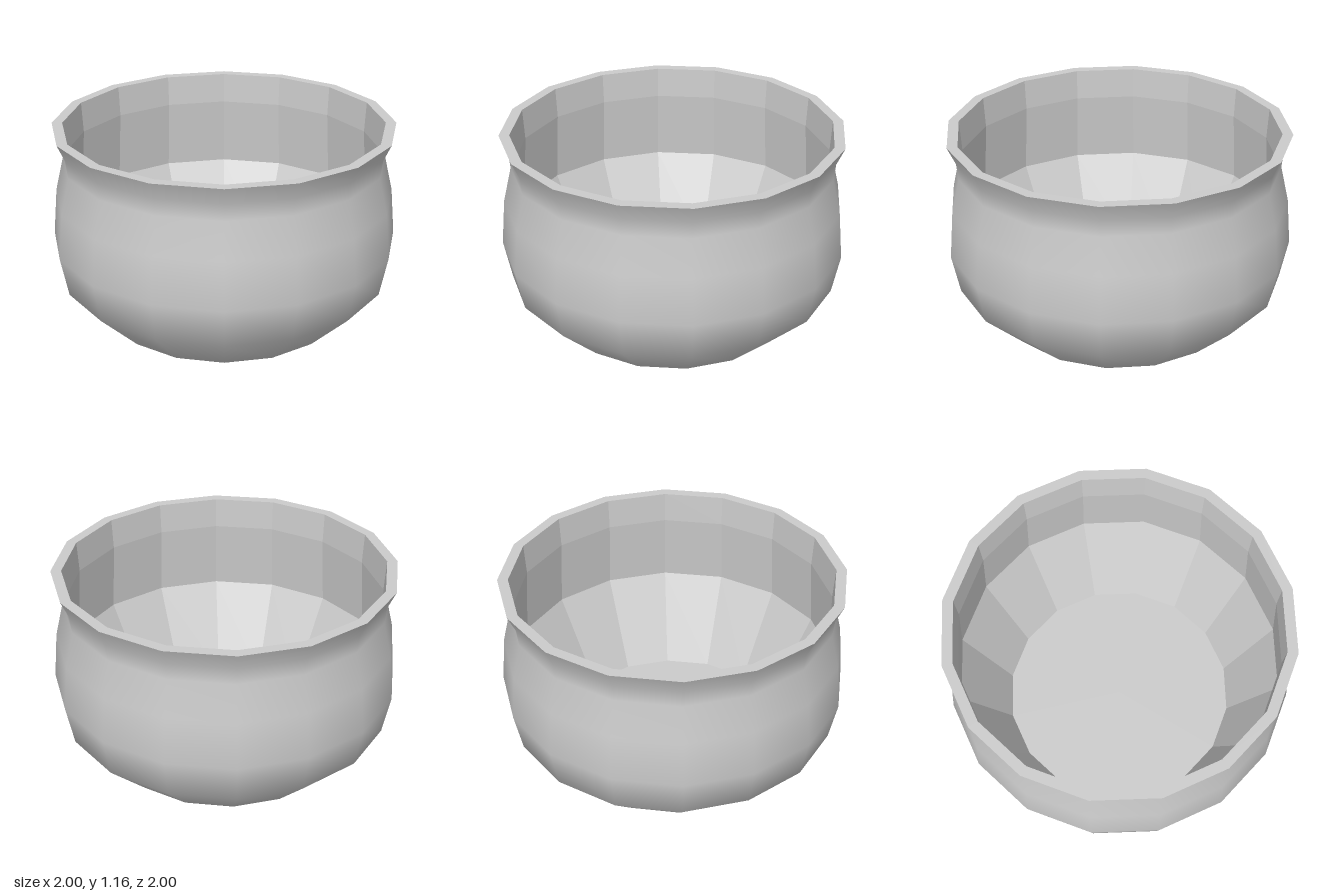
import * as THREE from 'three';

const SIDES = 16;

// Turn a [radius, height] profile into a named part of the bowl
function turned(name, profile, flat) {
  const points = profile.map(([r, y]) => new THREE.Vector2(r, y));
  const material = new THREE.MeshStandardMaterial({ color: 0xcccccc, flatShading: flat });
  const mesh = new THREE.Mesh(new THREE.LatheGeometry(points, SIDES), material);
  mesh.name = name;
  return mesh;
}

export function createModel() {
  const group = new THREE.Group();
  group.name = 'bowl';

  // Smooth rounded outside with a pinched neck and flared lip
  const outer = [[0.7, 0], [0.955, 0.25], [1, 0.48], [0.975, 0.75], [0.925, 0.96], [0.935, 1.06], [0.98, 1.16]];
  group.add(turned('outerWall', outer, false));

  // Flat lip joining the outside to the inside
  group.add(turned('rim', [[0.98, 1.16], [0.92, 1.16]], true));

  // Faceted inside wall, running down to the floor
  group.add(turned('innerWall', [[0.92, 1.16], [0.91, 0.98], [0.94, 0.57], [0.68, 0.05]], true));

  // Flat floor inside and flat base underneath
  group.add(turned('floor', [[0.68, 0.05], [0, 0.05]], true));
  group.add(turned('base', [[0, 0], [0.7, 0]], true));

  return group;
}
